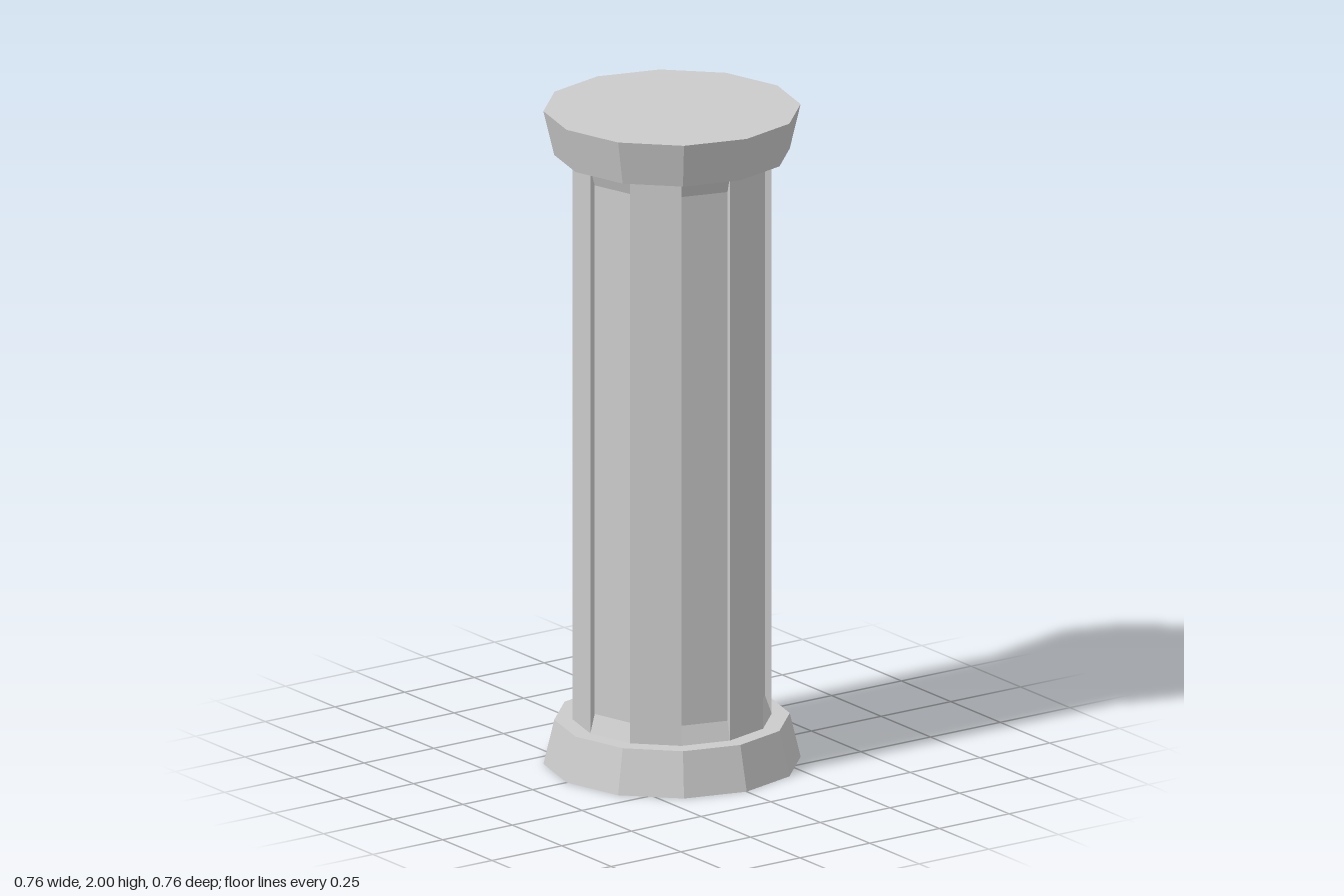
import * as THREE from 'three';

const SIDES = 12;
const STEP = (Math.PI * 2) / SIDES;
const SHAFT_R = 0.293;
const BLOCK_H = 0.135;
const HEIGHT = 2;
const DEPTH = 0.02;   // how far the alternate panels are sunk
const BEVEL = 0.055;  // height of the sloped panel ends

// Cross-section of the shaft: every second face is pushed inward by depth
function shaftRing(y, depth) {
  const ring = [];
  for (let i = 0; i < SIDES; i++) {
    const mid = (i + 0.5) * STEP;
    const d = i % 2 === 0 ? depth : 0;
    for (const a of [i * STEP, (i + 1) * STEP]) {
      ring.push(new THREE.Vector3(
        SHAFT_R * Math.sin(a) - d * Math.sin(mid),
        y,
        SHAFT_R * Math.cos(a) - d * Math.cos(mid)
      ));
    }
  }
  return ring;
}

// Joins stacked rings with flat faces, leaving out zero-area triangles
function loft(rings) {
  const points = [];
  const addTriangle = (a, b, c) => {
    if (new THREE.Triangle(a, b, c).getArea() > 1e-7) points.push(a, b, c);
  };
  for (let r = 0; r < rings.length - 1; r++) {
    const low = rings[r], high = rings[r + 1];
    for (let i = 0; i < low.length; i++) {
      const j = (i + 1) % low.length;
      addTriangle(low[i], low[j], high[j]);
      addTriangle(low[i], high[j], high[i]);
    }
  }
  const geometry = new THREE.BufferGeometry().setFromPoints(points);
  geometry.computeVertexNormals();
  return geometry;
}

export function createModel() {
  const model = new THREE.Group();
  model.name = 'column';
  const stone = new THREE.MeshStandardMaterial({ color: 0xcccccc, flatShading: true });

  const add = (name, geometry, y = 0) => {
    const mesh = new THREE.Mesh(geometry, stone);
    mesh.name = name;
    mesh.position.y = y;
    model.add(mesh);
  };

  // Tapered end blocks, mirrored top and bottom
  add('base', new THREE.CylinderGeometry(0.346, 0.378, BLOCK_H, SIDES), BLOCK_H / 2);
  add('capital', new THREE.CylinderGeometry(0.378, 0.346, BLOCK_H, SIDES), HEIGHT - BLOCK_H / 2);

  // Shaft with alternate sunken panels that slope out at both ends
  add('shaft', loft([
    shaftRing(BLOCK_H, 0),
    shaftRing(BLOCK_H + BEVEL, DEPTH),
    shaftRing(HEIGHT - BLOCK_H - BEVEL, DEPTH),
    shaftRing(HEIGHT - BLOCK_H, 0),
  ]));

  return model;
}
